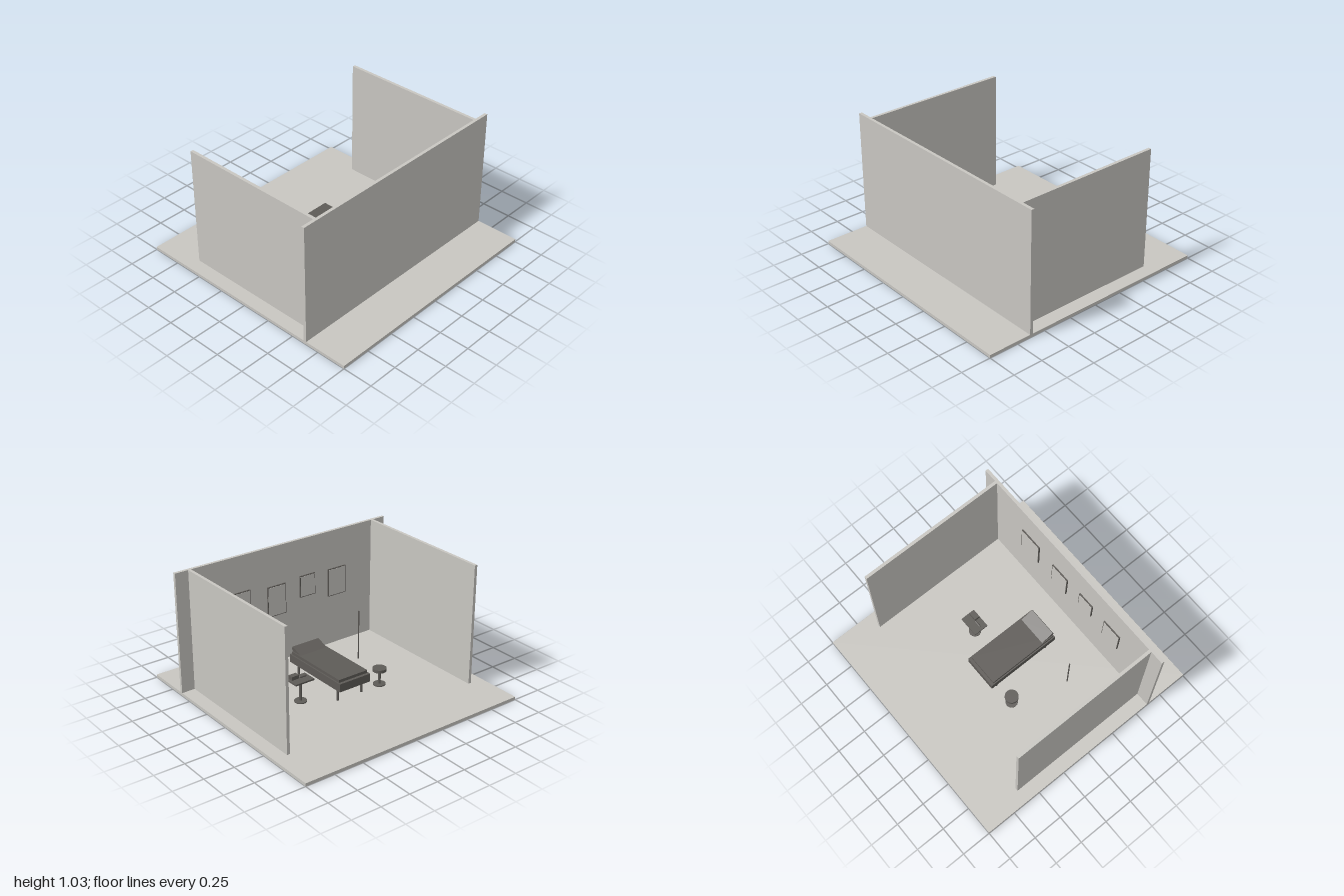
import * as THREE from 'three';

export function createModel() {
  const root = new THREE.Group();
  const plaster = new THREE.MeshStandardMaterial({ color: 0xc8c6c1 });
  plaster.name = 'pale plaster';
  const dark = new THREE.MeshStandardMaterial({ color: 0x5e5b57 });
  dark.name = 'dark grey';

  const add = (parent, name, geometry, material, x, y, z) => {
    const mesh = new THREE.Mesh(geometry, material);
    mesh.name = name;
    mesh.position.set(x, y, z);
    parent.add(mesh);
    return mesh;
  };
  // Box given by its minimum and maximum on each axis
  const box = (parent, name, material, [x0, x1], [y0, y1], [z0, z1]) =>
    add(parent, name, new THREE.BoxGeometry(x1 - x0, y1 - y0, z1 - z0), material,
      (x0 + x1) / 2, (y0 + y1) / 2, (z0 + z1) / 2);
  // Upright round part between two heights
  const round = (parent, name, r, x, y0, y1, z) =>
    add(parent, name, new THREE.CylinderGeometry(r, r, y1 - y0, 32), dark, x, (y0 + y1) / 2, z);
  const group = (name) => {
    const g = new THREE.Group();
    g.name = name;
    root.add(g);
    return g;
  };

  // Room shell
  const F = 0.025, H = 1.027;
  box(root, 'floor', plaster, [-1, 1], [0, F], [-1, 1]);
  box(root, 'frontWall', plaster, [-1, 1], [F, H], [0.61, 0.635]);
  for (const s of [-1, 1]) {
    const wall = box(root, s > 0 ? 'leftWall' : 'rightWall', plaster,
      [0.862, 0.887], [F, H], [-0.625, 0.61]);
    wall.position.x *= s;
  }

  // Couch with four legs, padding and a raised headrest
  const couch = group('couch');
  box(couch, 'couchFrame', dark, [-0.148, 0.146], [0.13, 0.198], [-0.277, 0.37]);
  box(couch, 'mattress', dark, [-0.138, 0.135], [0.198, 0.222], [-0.253, 0.355]);
  const headrest = add(couch, 'headrest', new THREE.BoxGeometry(0.255, 0.03, 0.125), dark, -0.002, 0.226, 0.306);
  headrest.rotation.x = -0.35;
  for (const x of [-0.116, 0.114])
    for (const z of [-0.21, 0.295]) round(couch, 'couchLeg', 0.011, x, F, 0.135, z);

  // Round stool
  const stool = group('stool');
  round(stool, 'stoolBase', 0.05, -0.303, F, 0.034, -0.203);
  round(stool, 'stoolPost', 0.011, -0.303, 0.034, 0.145, -0.203);
  round(stool, 'stoolSeat', 0.055, -0.303, 0.145, 0.17, -0.203);

  // Side table with a small box and a hand tool lying on it
  const table = group('sideTable');
  round(table, 'tableBase', 0.05, 0.348, F, 0.034, -0.05);
  round(table, 'tablePost', 0.011, 0.348, 0.034, 0.205, -0.05);
  box(table, 'tableTop', dark, [0.262, 0.435], [0.205, 0.218], [-0.112, 0.012]);
  box(table, 'smallBox', dark, [0.353, 0.42], [0.218, 0.248], [-0.04, 0.006]);
  const tool = add(table, 'handTool', new THREE.CapsuleGeometry(0.008, 0.052, 6, 16), dark, 0.319, 0.226, -0.041);
  tool.rotation.z = Math.PI / 2;

  // Slim pole
  round(root, 'pole', 0.005, -0.452, F, 0.45, 0.247);

  // Framed pictures on the inner face of the front wall
  const pictures = [
    [0.345, 0.55, 0.453, 0.727],
    [0.01, 0.185, 0.438, 0.697],
    [-0.28, -0.13, 0.528, 0.713],
    [-0.592, -0.415, 0.46, 0.7],
  ];
  for (const [x0, x1, y0, y1] of pictures) {
    const picture = group('picture'), b = 0.006;
    box(picture, 'pictureFrame', dark, [x0, x1], [y0, y1], [0.599, 0.61]);
    box(picture, 'pictureFace', plaster, [x0 + b, x1 - b], [y0 + b, y1 - b], [0.597, 0.599]);
  }
  return root;
}
